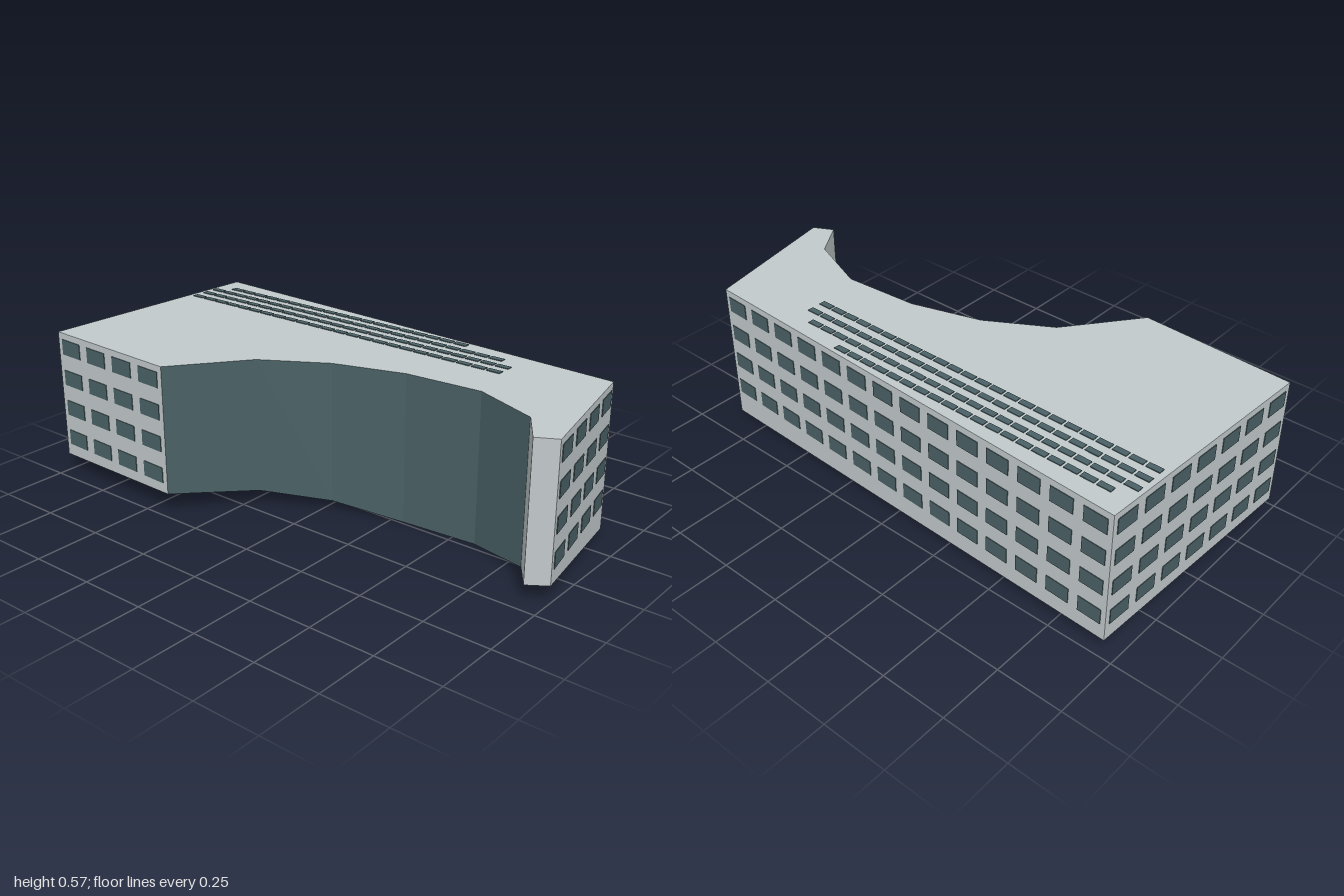
import * as THREE from 'three';
import { mergeGeometries } from 'three/addons/utils/BufferGeometryUtils.js';

const ROOF_Y = 0.57;

// Footprint corners [x, z, base height], clockwise from the back left as seen from above
const CORNERS = [
  [-0.955, -0.48, 0.056], [0.885, -0.39, 0.015], [1.0, 0.16, 0.065], [0.925, 0.2, 0.06],
  [0.835, 0.065, 0.035], [0.59, -0.03, 0], [0.295, -0.01, 0], [0.03, 0.07, 0.034],
  [-0.205, 0.21, 0.057], [-0.41, 0.477, 0.078], [-1.0, 0.45, 0.068],
];

// Triangles covering the footprint, shared by the roof and the sloping base
const FLOOR = [
  [0, 1, 10], [1, 7, 10], [7, 8, 10], [8, 9, 10], [1, 6, 7],
  [1, 5, 6], [1, 4, 5], [1, 3, 4], [1, 2, 3],
];

const base = (i) => [CORNERS[i][0], CORNERS[i][2], CORNERS[i][1]];
const top = (i) => [CORNERS[i][0], ROOF_Y, CORNERS[i][1]];

function facets(triangles) {
  const geometry = new THREE.BufferGeometry();
  geometry.setAttribute('position', new THREE.Float32BufferAttribute(triangles.flat(2), 3));
  geometry.computeVertexNormals();
  return geometry;
}

// Two triangles from corner i to the next corner
function wall(i) {
  const j = (i + 1) % CORNERS.length;
  return [[base(i), top(i), top(j)], [base(i), top(j), base(j)]];
}

// Grid of thin panes on the wall that starts at corner i
function windowGrid(i, columns) {
  const [x0, z0] = CORNERS[i];
  const [x1, z1] = CORNERS[(i + 1) % CORNERS.length];
  const dx = x1 - x0, dz = z1 - z0;
  const cell = Math.hypot(dx, dz) / columns;
  const panes = [];
  for (let row = 0; row < 4; row++) {
    for (let c = 0; c < columns; c++) {
      const t = (c + 0.5) / columns;
      const pane = new THREE.BoxGeometry(cell * 0.7, 0.06, 0.005);
      pane.rotateY(Math.atan2(dz, -dx));
      pane.translate(x0 + dx * t, 0.146 + row * 0.123, z0 + dz * t);
      panes.push(pane);
    }
  }
  return mergeGeometries(panes);
}

export function createModel() {
  const model = new THREE.Group();
  model.name = 'officeBuilding';
  const concrete = new THREE.MeshStandardMaterial({ color: 0xc2cacc });
  concrete.name = 'paleConcrete';
  const glass = new THREE.MeshStandardMaterial({ color: 0x4a6166 });
  glass.name = 'tealGlass';

  const add = (name, geometry, material) => {
    const mesh = new THREE.Mesh(geometry, material);
    mesh.name = name;
    model.add(mesh);
  };

  // Building shell
  add('roof', facets(FLOOR.map(([a, b, c]) => [top(c), top(b), top(a)])), concrete);
  add('slopingBase', facets(FLOOR.map((t) => t.map(base))), concrete);
  add('outerWalls', facets([0, 1, 2, 3, 9, 10].flatMap(wall)), concrete);
  add('curvedGlassFront', facets([4, 5, 6, 7, 8].flatMap(wall)), glass);

  // Windows
  add('backWindows', windowGrid(0, 14), glass);
  add('rightEndWindows', windowGrid(1, 4), glass);
  add('frontWindows', windowGrid(9, 4), glass);
  add('leftEndWindows', windowGrid(10, 7), glass);

  // Rows of roof panels: [first x, z, count]
  const panels = [];
  for (const [x, z, count] of [[-0.885, -0.39, 19], [-0.945, -0.335, 23], [-0.945, -0.279, 24], [-0.945, -0.222, 24]]) {
    for (let k = 0; k < count; k++) {
      const panel = new THREE.BoxGeometry(0.053, 0.006, 0.024);
      panels.push(panel.translate(x + 0.0265 + k * 0.0624, ROOF_Y, z));
    }
  }
  add('roofPanels', mergeGeometries(panels), glass);

  return model;
}
